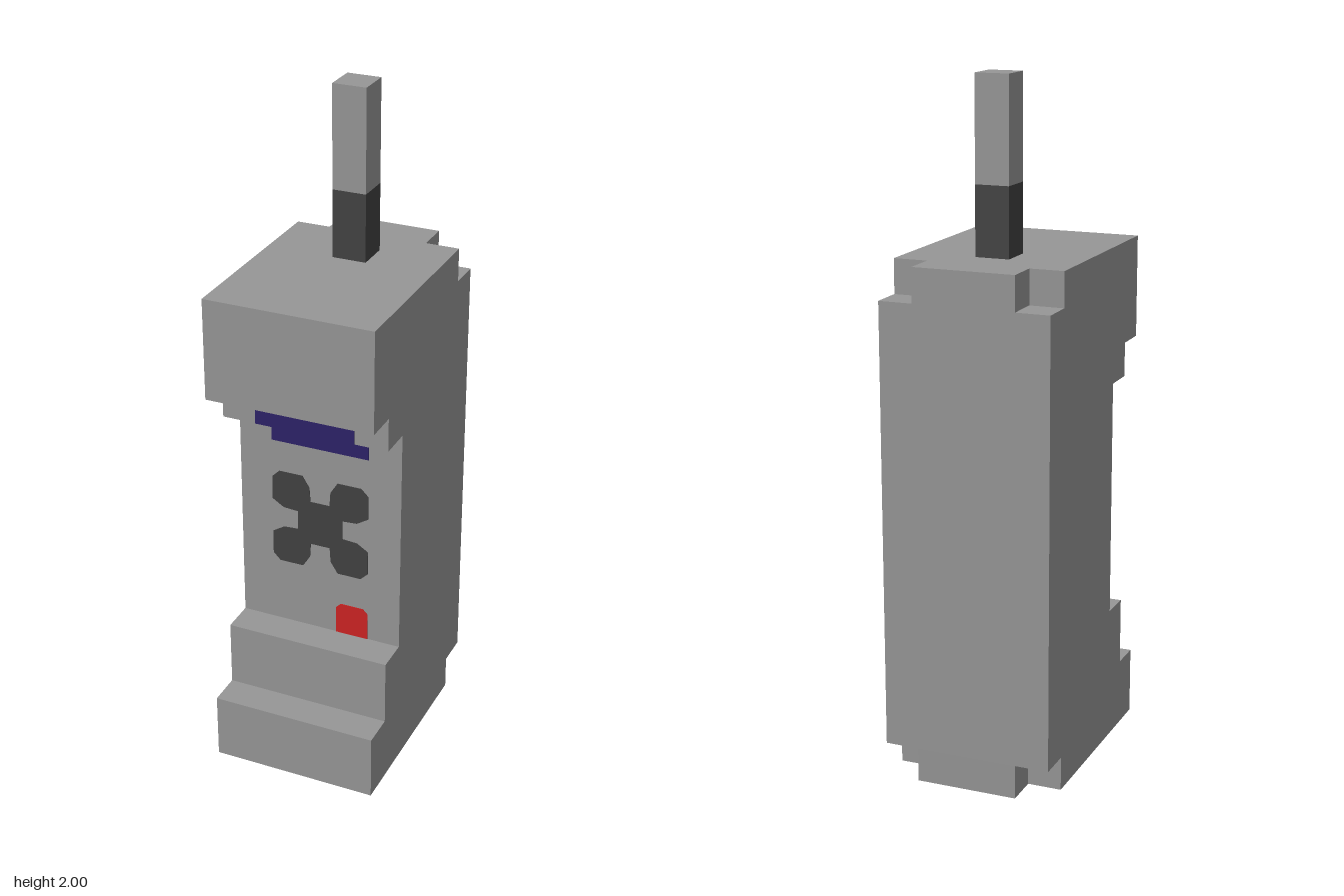
import * as THREE from 'three';

const mat = (name, color) => Object.assign(new THREE.MeshStandardMaterial({ color }), { name });

export function createModel() {
  const group = new THREE.Group();
  group.name = 'handheldRadio';
  const grey = mat('casing grey', 0x969696);
  const dark = mat('dark grey', 0x424242);
  const blue = mat('screen blue', 0x2d2268);
  const red = mat('button red', 0xcc2323);

  const add = (name, geometry, material, x = 0, y = 0, z = 0) => {
    const mesh = new THREE.Mesh(geometry, material);
    mesh.name = name;
    mesh.position.set(x, y, z);
    group.add(mesh);
    return mesh;
  };
  const extrude = (points, depth) => new THREE.ExtrudeGeometry(
    new THREE.Shape(points.map(([x, y]) => new THREE.Vector2(x, y))),
    { depth, bevelEnabled: false });

  // Stepped casing: side profile (z, y) swept across the width
  const profile = [
    [-0.25, 0], [0.35, 0], [0.35, 0.2], [0.25, 0.2], [0.25, 0.4], [0.15, 0.4],
    [0.15, 1.1], [0.25, 1.1], [0.25, 1.2], [0.35, 1.2], [0.35, 1.5], [-0.25, 1.5],
  ];
  const casing = extrude(profile, 0.5);
  casing.rotateY(-Math.PI / 2); // profile x becomes z
  add('casing', casing, grey, 0.25);

  // Back plate with its four corners cut out
  const back = [
    [-0.15, 0], [0.15, 0], [0.15, 0.1], [0.25, 0.1], [0.25, 1.4], [0.15, 1.4],
    [0.15, 1.5], [-0.15, 1.5], [-0.15, 1.4], [-0.25, 1.4], [-0.25, 0.1], [-0.15, 0.1],
  ];
  add('backPlate', extrude(back, 0.1), grey, 0, 0, -0.35);

  // Antenna and its dark base
  add('antennaBase', new THREE.BoxGeometry(0.1, 0.2, 0.1), dark, 0, 1.6, -0.1);
  add('antenna', new THREE.BoxGeometry(0.1, 0.3, 0.1), grey, 0, 1.85, -0.1);

  // Screen, folded over the upper step
  const plate = 0.003;
  add('screenUpper', new THREE.BoxGeometry(0.3, 0.1, plate), blue, 0, 1.15, 0.25);
  add('screenLower', new THREE.BoxGeometry(0.3, 0.1, plate), blue, 0, 1.05, 0.15);

  // Four-lobed keypad: one lobe turned about the centre
  const lobe = [
    [0.07, 0.03], [0.115, 0.033], [0.15, 0.055], [0.15, 0.128], [0.128, 0.15],
    [0.055, 0.15], [0.033, 0.115], [0.03, 0.07],
  ];
  const keypad = [];
  for (let i = 0; i < 4; i++) {
    const c = Math.round(Math.cos(i * Math.PI / 2)), s = Math.round(Math.sin(i * Math.PI / 2));
    for (const [x, y] of lobe) keypad.push([x * c - y * s, x * s + y * c]);
  }
  add('keypad', extrude(keypad, plate), dark, 0, 0.753, 0.149);

  // Red button with clipped top corners
  const button = [[0.05, 0.4], [0.15, 0.4], [0.15, 0.485], [0.135, 0.5], [0.065, 0.5], [0.05, 0.485]];
  add('button', extrude(button, plate), red, 0, 0, 0.149);

  return group;
}
